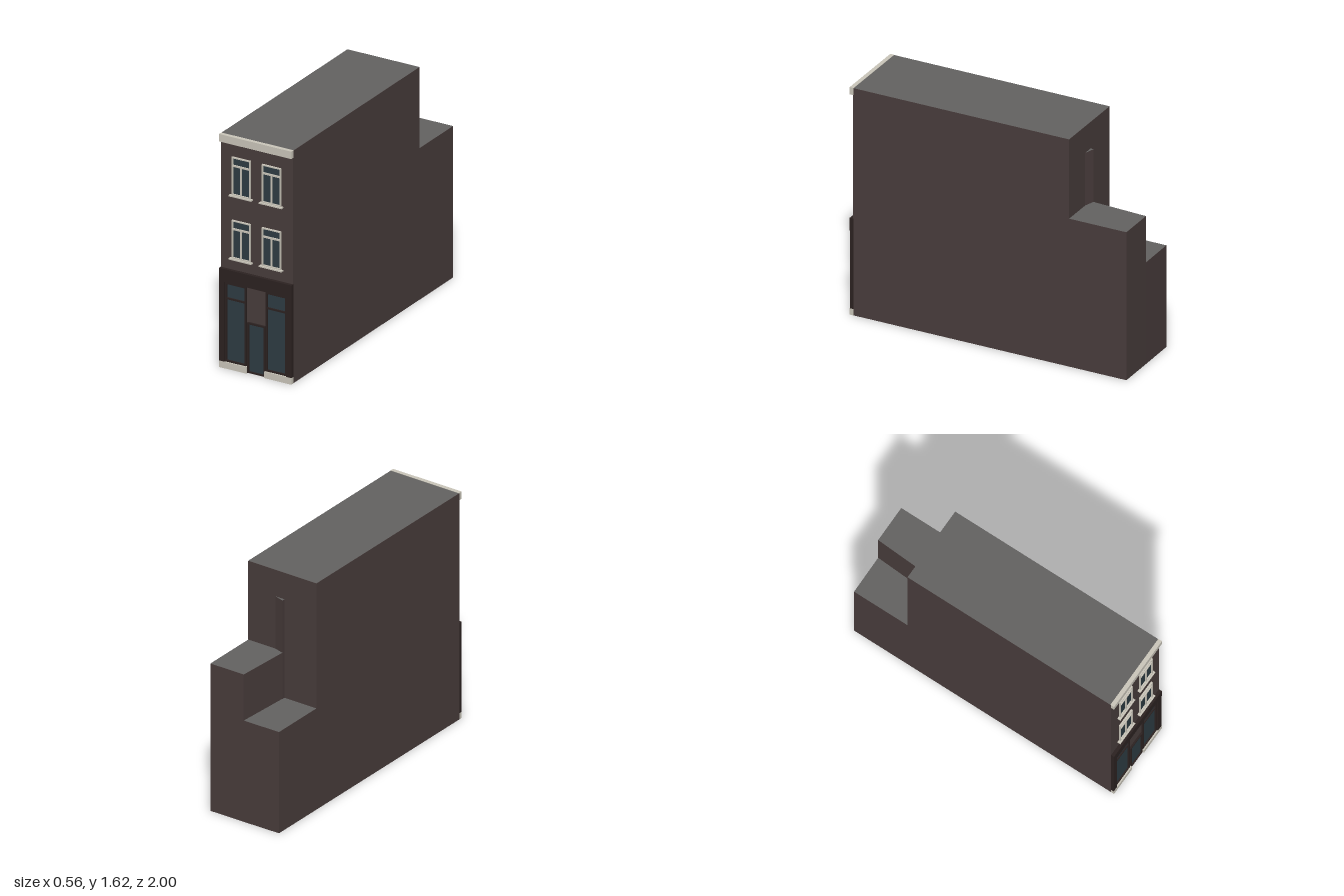
import * as THREE from 'three';

const material = (name, color) => {
  const m = new THREE.MeshStandardMaterial({ color });
  m.name = name;
  return m;
};

export function createModel() {
  const brick = material('brown brick', 0x493d3c);
  const roofGrey = material('roof grey', 0x636261);
  const cream = material('cream trim', 0xcbc7bb);
  const dark = material('dark shopfront', 0x2c2221);
  const glass = material('glass', 0x2e3c43);

  const model = new THREE.Group();
  model.name = 'townhouse';

  // Box given by its limits on each axis
  const box = (parent, name, mat, x0, x1, y0, y1, z0, z1) => {
    const mesh = new THREE.Mesh(new THREE.BoxGeometry(x1 - x0, y1 - y0, z1 - z0), mat);
    mesh.position.set((x0 + x1) / 2, (y0 + y1) / 2, (z0 + z1) / 2);
    mesh.name = name;
    parent.add(mesh);
  };

  // Upright block on a plan of [x, z] corners, with a flat roof on top
  const block = (name, plan, y0, y1, topMat) => {
    const shape = new THREE.Shape(plan.map(([x, z]) => new THREE.Vector2(x, -z)));
    const depth = y1 - y0 - 0.001;
    const walls = new THREE.Mesh(
      new THREE.ExtrudeGeometry(shape, { depth, bevelEnabled: false }).rotateX(-Math.PI / 2), brick);
    walls.position.y = y0;
    walls.name = name + 'Walls';
    const roof = new THREE.Mesh(new THREE.ShapeGeometry(shape).rotateX(-Math.PI / 2), topMat);
    roof.position.y = y1;
    roof.name = name + 'Roof';
    model.add(walls, roof);
  };

  // Main house and the two rear extensions, on a slightly skewed plot
  const zb = -0.586;
  block('house', [[-0.262, 0.977], [0.279, 0.977], [0.264, zb], [-0.276, zb]], 0, 1.62, roofGrey);
  block('highExtension', [[-0.022, zb], [0.264, zb], [0.26, -1], [-0.003, -0.999]], 0, 1.055, roofGrey);
  block('lowExtension', [[-0.276, zb], [-0.022, zb], [-0.003, -0.999], [-0.28, -0.996]], 0, 0.725, roofGrey);
  block('rearPier', [[-0.022, zb], [0.05, zb], [-0.024, -0.608]], 0.725, 1.43, roofGrey);

  // Cornice
  const L = -0.262, R = 0.28, wall = 0.972;
  box(model, 'cornice', cream, L, R, 1.57, 1.622, wall, 1);

  // Rectangular frame with a transom, glazed
  const framed = (parent, mat, x0, x1, y0, y1, t, z, transom) => {
    box(parent, 'frameLeft', mat, x0, x0 + t, y0, y1, wall, z);
    box(parent, 'frameRight', mat, x1 - t, x1, y0, y1, wall, z);
    box(parent, 'frameTop', mat, x0 + t, x1 - t, y1 - t, y1, wall, z);
    box(parent, 'frameBottom', mat, x0 + t, x1 - t, y0, y0 + t, wall, z);
    if (transom) box(parent, 'transom', mat, x0 + t, x1 - t, transom - 0.006, transom + 0.006, wall, z - 0.001);
    box(parent, 'pane', glass, x0 + t, x1 - t, y0 + t, y1 - t, wall, 0.98);
  };

  // Upper windows: two floors, two per floor
  for (const y of [0.773, 1.213]) {
    for (const x of [-0.105, 0.122]) {
      const win = new THREE.Group();
      win.name = 'upperWindow';
      framed(win, cream, x - 0.07, x + 0.07, y, y + 0.265, 0.008, 0.99, y + 0.204);
      box(win, 'mullion', cream, x - 0.005, x + 0.005, y + 0.008, y + 0.198, wall, 0.988);
      box(win, 'sill', cream, x - 0.086, x + 0.084, y - 0.009, y, wall, 1);
      model.add(win);
    }
  }

  // Shopfront: fascia, pilasters, plinths
  const shop = new THREE.Group();
  shop.name = 'shopfront';
  model.add(shop);
  box(shop, 'fascia', dark, L, R, 0.6, 0.69, wall, 1);
  box(shop, 'pilaster', dark, L, -0.224, 0.045, 0.6, wall, 0.998);
  box(shop, 'pilaster', dark, 0.239, R, 0.045, 0.6, wall, 0.998);
  box(shop, 'plinth', cream, L, -0.057, 0, 0.045, wall, 1);
  box(shop, 'plinth', cream, 0.077, R, 0, 0.045, wall, 1);

  // Shop windows and door
  for (const x of [-0.145, 0.16]) {
    const win = new THREE.Group();
    win.name = 'shopWindow';
    framed(win, dark, x - 0.079, x + 0.079, 0.045, 0.597, 0.012, 0.99, 0.485);
    shop.add(win);
  }
  const door = new THREE.Group();
  door.name = 'door';
  framed(door, dark, -0.057, 0.077, 0.003, 0.353, 0.011, 0.99);
  shop.add(door);

  return model;
}
